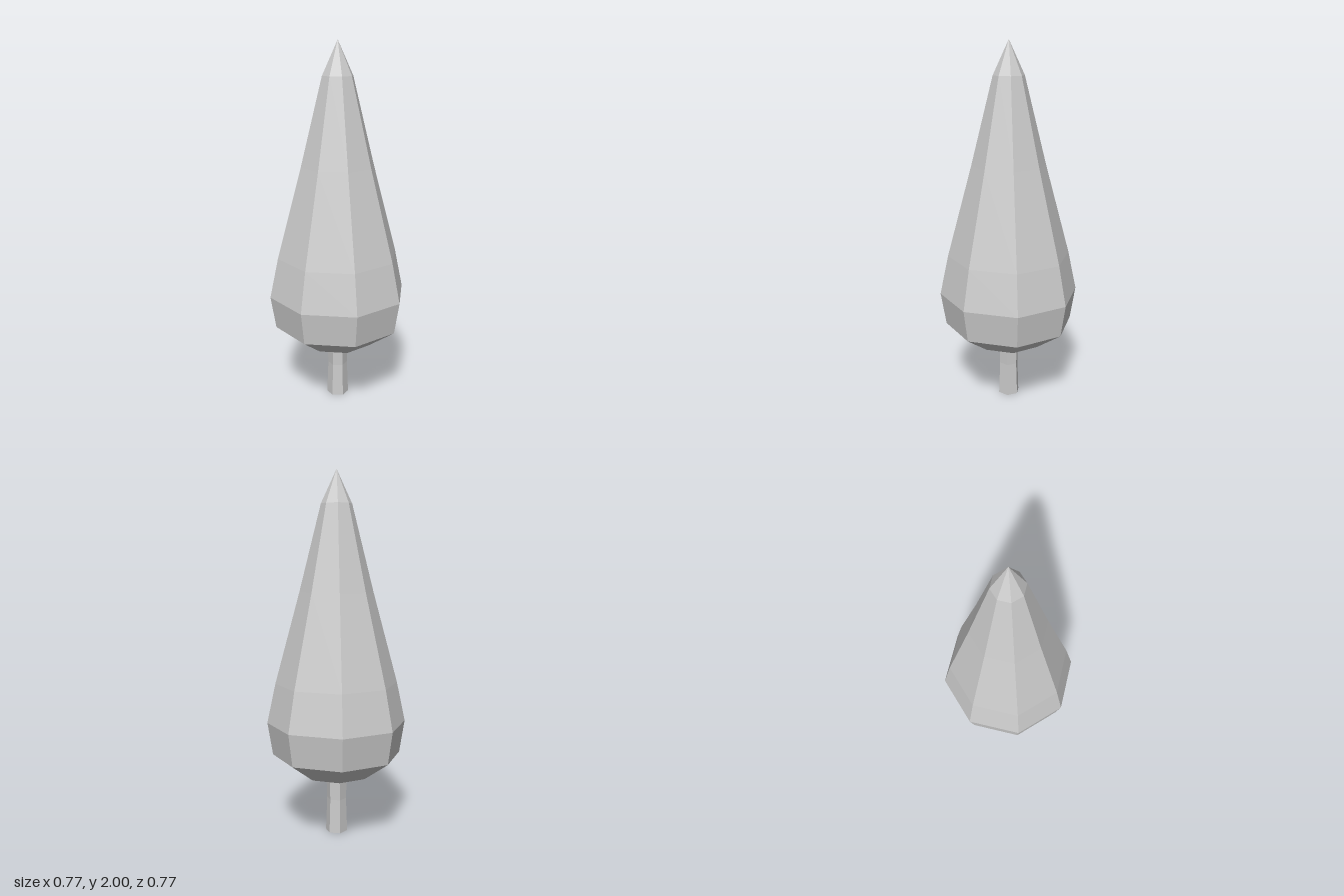
import * as THREE from 'three';

const material = new THREE.MeshStandardMaterial({ color: 0xcccccc, flatShading: true });

// Faceted solid of revolution from [radius, height] pairs, listed bottom to top
function facetedLathe(name, profile, sides) {
  const points = profile.map(([r, y]) => new THREE.Vector2(r, y));
  const mesh = new THREE.Mesh(new THREE.LatheGeometry(points, sides), material);
  mesh.name = name;
  return mesh;
}

export function createModel() {
  const tree = new THREE.Group();
  tree.name = 'tree';

  // Six-sided trunk, slightly waisted, closed at the base
  tree.add(facetedLathe('trunk', [
    [0, 0], [0.061, 0], [0.054, 0.19], [0.058, 0.31],
  ], 6));

  // Eight-sided teardrop crown
  tree.add(facetedLathe('foliage', [
    [0, 0.3], [0.05, 0.302], [0.2, 0.34], [0.355, 0.45], [0.384, 0.63],
    [0.337, 0.85], [0.202, 1.35], [0.084, 1.82], [0, 2],
  ], 8));

  return tree;
}
